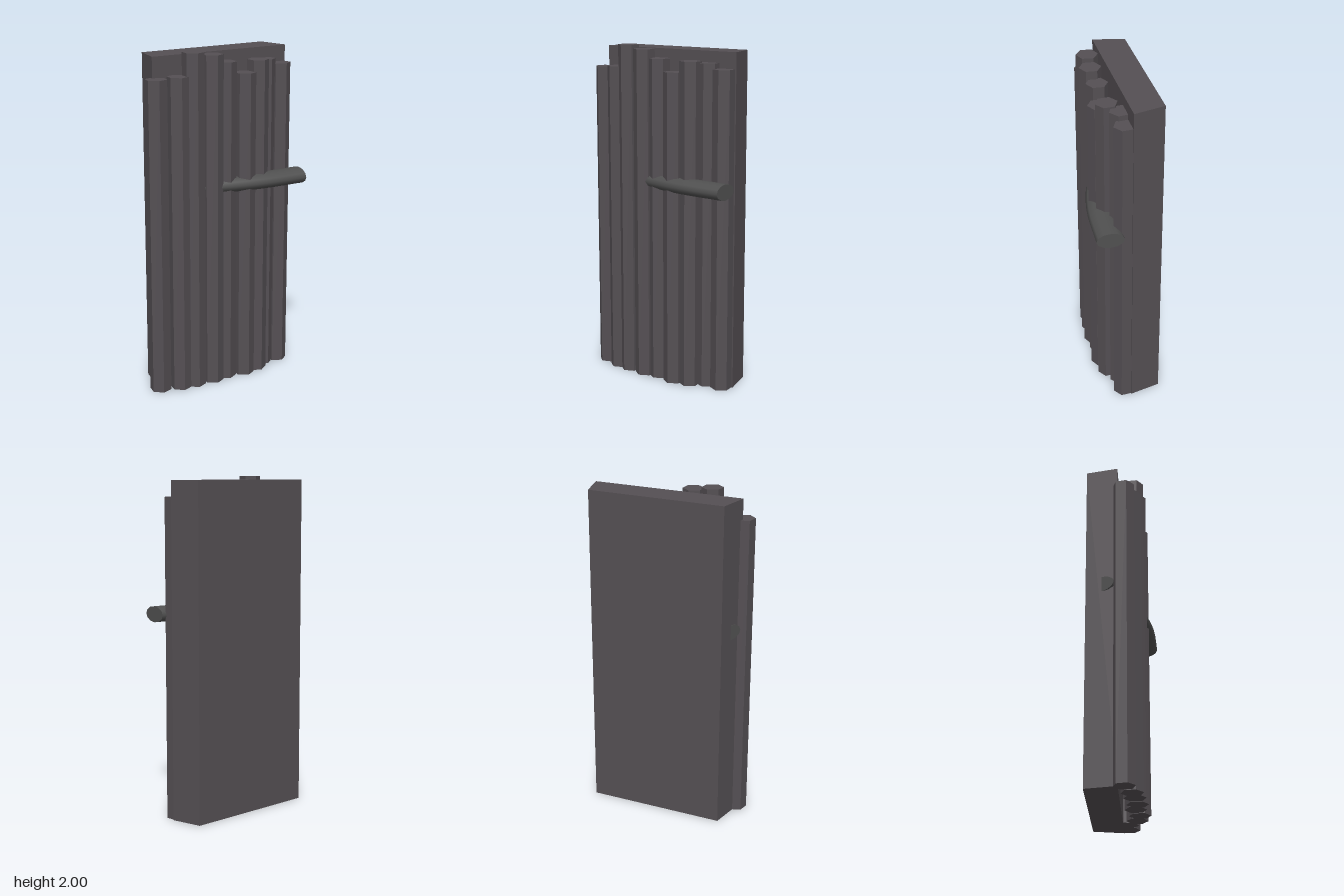
import * as THREE from 'three';

export function createModel() {
  const model = new THREE.Group();
  const basalt = new THREE.MeshStandardMaterial({ color: 0x544f53 });
  basalt.name = 'basalt';
  const wood = new THREE.MeshStandardMaterial({ color: 0x505050 });
  wood.name = 'ledgeStone';

  const add = (name, geometry, material) => {
    const mesh = new THREE.Mesh(geometry, material);
    mesh.name = name;
    model.add(mesh);
    return mesh;
  };

  // Slanted backing slab, drawn as a plan outline (x, z) and raised
  const plan = [[-0.457, -0.06], [-0.457, 0.13], [0.43, -0.07], [0.348, -0.24]];
  const outline = new THREE.Shape(plan.map(([x, z]) => new THREE.Vector2(x, -z)));
  const slab = new THREE.ExtrudeGeometry(outline, { depth: 1.98, bevelEnabled: false });
  slab.rotateX(-Math.PI / 2);
  add('backingSlab', slab, basalt);

  // Row of hexagonal columns: x, z, height, turn in degrees
  const columns = [
    [-0.446, 0.163, 1.86, 0],
    [-0.321, 0.174, 1.87, 2],
    [-0.228, 0.165, 2.0, 5],
    [-0.109, 0.149, 1.98, 8],
    [-0.015, 0.114, 1.93, 9],
    [0.106, 0.108, 1.86, 10],
    [0.202, 0.068, 1.925, 16],
    [0.274, -0.005, 1.915, 19],
    [0.378, -0.024, 1.885, 17],
  ];
  columns.forEach(([x, z, height, turn], i) => {
    const hexagon = new THREE.CylinderGeometry(0.064, 0.064, height, 6).toNonIndexed();
    hexagon.computeVertexNormals();
    const column = add(`column${i + 1}`, hexagon, basalt);
    column.position.set(x, height / 2, z);
    column.rotation.y = THREE.MathUtils.degToRad(turn);
  });

  // Flattened curved ledge running through the columns
  const path = new THREE.CatmullRomCurve3([
    [-0.456, 0.032], [-0.2, 0.09], [0.05, 0.107], [0.21, 0.1], [0.48, 0.055],
  ].map(([x, z]) => new THREE.Vector3(x, 0, z)));
  const ledge = new THREE.Group();
  ledge.name = 'ledge';
  ledge.position.y = 1.21;
  ledge.scale.y = 0.58;
  const tube = add('ledgeBody', new THREE.TubeGeometry(path, 24, 0.081, 12), wood);
  ledge.add(tube);

  // End caps of the ledge
  for (const [name, t, sign] of [['ledgeRightCap', 0, -1], ['ledgeLeftCap', 1, 1]]) {
    const cap = add(name, new THREE.CircleGeometry(0.081, 12), wood);
    const point = path.getPointAt(t);
    cap.position.copy(point);
    cap.lookAt(point.clone().addScaledVector(path.getTangentAt(t), sign));
    ledge.add(cap);
  }
  model.add(ledge);

  return model;
}
